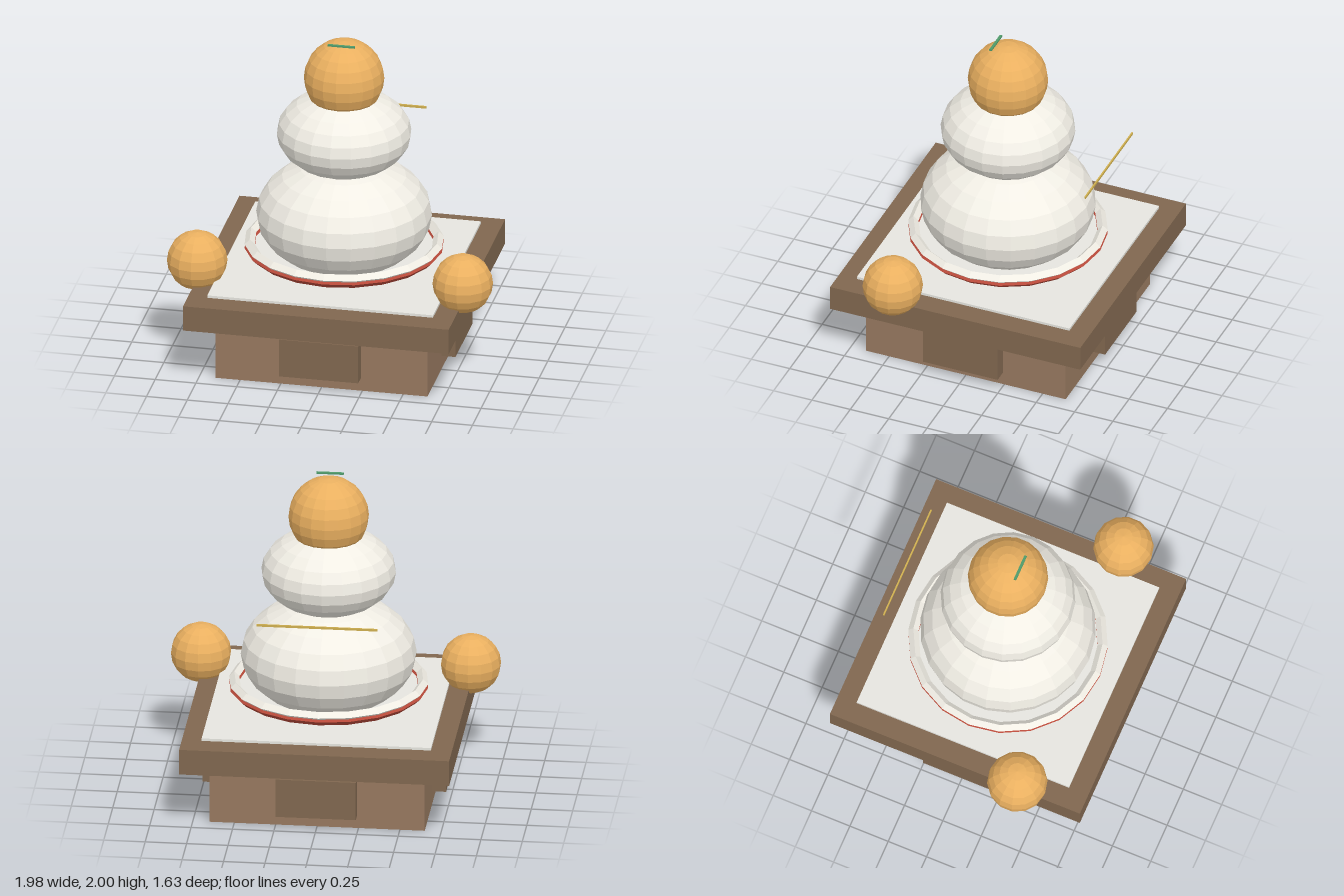
import * as THREE from 'three';

const paint = (color) => new THREE.MeshStandardMaterial({ color, flatShading: true });

export function createModel() {
  const model = new THREE.Group();
  const lightWood = paint(0x96785f), darkWood = paint(0x80674f);
  const white = paint(0xf0ede4), paper = paint(0xe6e5df), orange = paint(0xeab060);
  const red = paint(0xb84a3a), green = paint(0x4f9a6a), gold = paint(0xd0b050);

  const add = (name, geometry, material, x, y, z) => {
    const mesh = new THREE.Mesh(geometry, material);
    mesh.name = name;
    mesh.position.set(x, y, z);
    model.add(mesh);
    return mesh;
  };
  // Box given by its size and the height of its underside
  const box = (name, w, h, d, material, x, bottom, z) =>
    add(name, new THREE.BoxGeometry(w, h, d), material, x, bottom + h / 2, z);
  // Faceted ball with a vertex towards the front, flattened by ry
  const ball = (name, r, ry, sides, rows, material, x, y, z) => {
    const g = new THREE.SphereGeometry(r, sides, rows);
    g.rotateY(Math.PI / 2).scale(1, ry / r, 1);
    return add(name, g, material, x, y, z);
  };
  // Horizontal ring with a diamond-shaped section
  const ring = (name, material, y) => {
    const g = new THREE.TorusGeometry(0.57, 0.031, 4, 20);
    g.rotateX(Math.PI / 2).rotateY(Math.PI / 2);
    return add(name, g, material, 0, y, 0);
  };

  // Stand with a raised panel on each side
  box('standBase', 1.3, 0.33, 1.3, lightWood, 0, 0, 0);
  for (const s of [-1, 1]) {
    box('sidePanel', 0.09, 0.243, 0.485, darkWood, s * 0.69, 0.086, 0);
    box('endPanel', 0.485, 0.243, 0.09, darkWood, 0, 0.086, s * 0.69);
  }

  // Tray and paper sheet
  box('tray', 1.63, 0.16, 1.63, darkWood, 0, 0.37, 0);
  box('paperSheet', 1.385, 0.016, 1.385, paper, 0, 0.543, 0);

  // Rings round the lower cake
  ring('whiteRing', white, 0.68);
  ring('redRing', red, 0.655);

  // Stacked cakes topped by a fruit
  ball('lowerCake', 0.529, 0.348, 22, 12, white, 0, 0.86, 0);
  ball('upperCake', 0.406, 0.259, 20, 12, white, 0, 1.395, 0);
  ball('topFruit', 0.242, 0.242, 18, 12, orange, 0, 1.753, 0);
  box('leaf', 0.165, 0.01, 0.016, green, 0, 1.99, 0.08);

  // Fruit at both edges of the tray
  for (const s of [-1, 1]) ball('sideFruit', 0.182, 0.182, 14, 10, orange, s * 0.815, 0.655, 0.407);

  // Thin stick behind the cakes
  box('stick', 0.73, 0.014, 0.009, gold, 0, 1.29, -0.656);

  return model;
}
